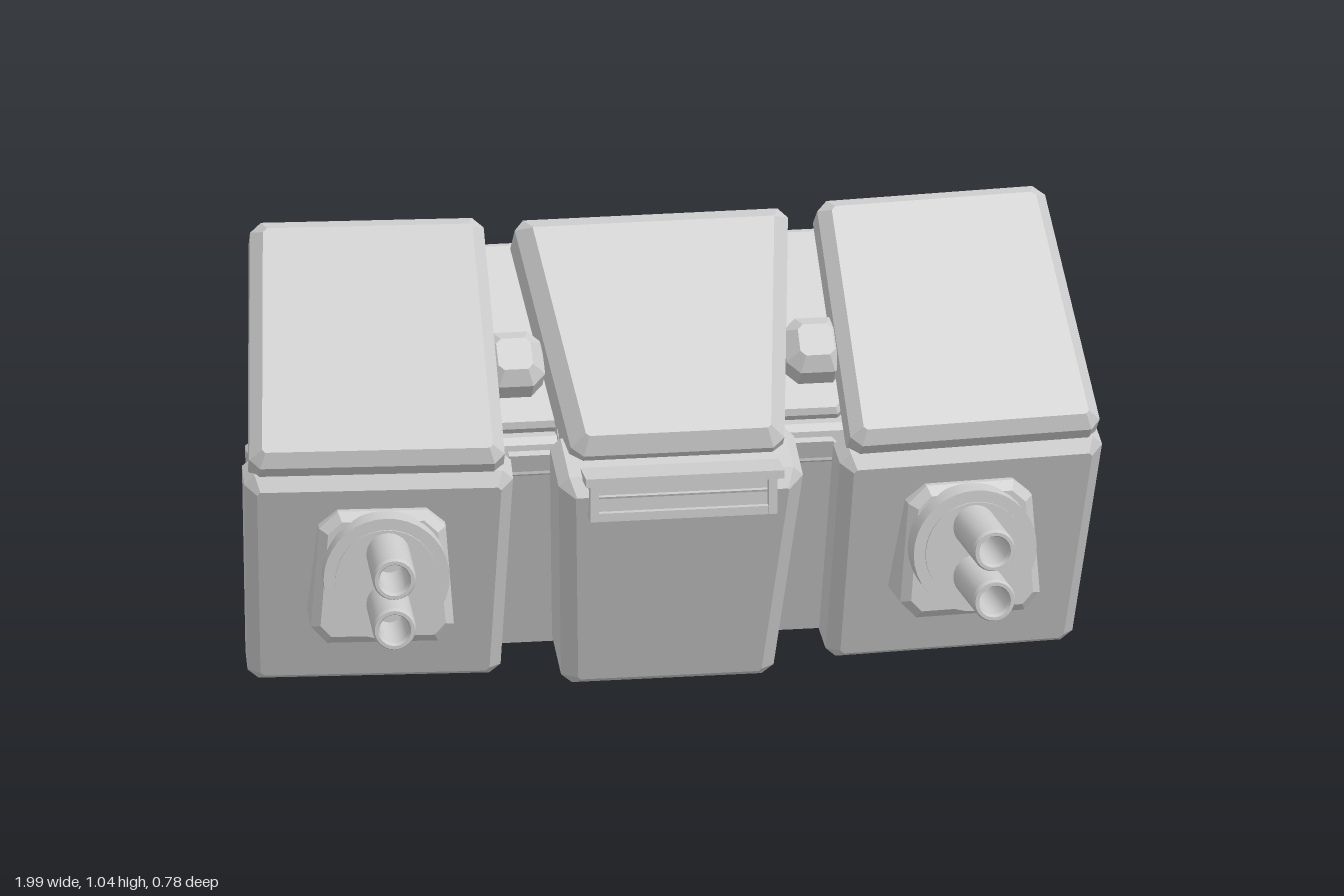
import * as THREE from 'three';

const grey = new THREE.MeshStandardMaterial({ color: 0xcccccc });
grey.name = 'light grey';

const LOWER_TILT = 0.37, UPPER_TILT = -0.77, YAW = 0.08, SIDE_X = 0.68;

// Outline with every corner cut off by length c
function cutCorners(points, c) {
  const v = points.map(p => new THREE.Vector2(p[0], p[1]));
  return v.flatMap((p, i) => [v[(i + v.length - 1) % v.length], v[(i + 1) % v.length]].map(
    q => p.clone().add(q.clone().sub(p).setLength(c))));
}

// Chamfered plate: outline in xy, reaching from z = back to z = front
function plate(name, points, back, front, bevel = 0.025, corner = 0.025) {
  const geo = new THREE.ExtrudeGeometry(new THREE.Shape(cutCorners(points, corner)), {
    depth: front - back - 2 * bevel, bevelEnabled: bevel > 0, bevelSegments: 1,
    bevelThickness: bevel, bevelSize: bevel, bevelOffset: -bevel,
  });
  geo.translate(0, 0, back + bevel);
  const mesh = new THREE.Mesh(geo, grey);
  mesh.name = name;
  return mesh;
}

// Four-sided outline from bottom and top widths
const quad = (y0, y1, l0, r0, l1 = l0, r1 = r0) => [[l0, y0], [r0, y0], [r1, y1], [l1, y1]];

// Bar along x from a [z, y] section
function bar(name, section, x0, x1, bevel = 0.02) {
  const mesh = plate(name, section.map(([z, y]) => [-z, y]), x0, x1, bevel, 0.015);
  mesh.geometry.rotateY(Math.PI / 2);
  return mesh;
}

function tilted(name, angle, ...parts) {
  const g = new THREE.Group();
  g.name = name;
  g.rotation.x = angle;
  g.add(...parts);
  return g;
}

function cylinder(name, r, depth, x, y, z) {
  const mesh = new THREE.Mesh(new THREE.CylinderGeometry(r, r, depth, 36).rotateX(Math.PI / 2), grey);
  mesh.name = name;
  mesh.position.set(x, y, z);
  return mesh;
}

// Hollow barrel, open at the front
function barrel(x, y) {
  const shell = [[0.05, 0], [0.05, 0.235], [0.046, 0.245], [0.038, 0.245], [0.034, 0.235], [0.034, 0.08], [0, 0.08]];
  const g = new THREE.Group();
  g.name = 'barrel';
  for (let i = 0; i < shell.length - 1; i++) {
    const pair = shell.slice(i, i + 2).map(p => new THREE.Vector2(...p));
    g.add(new THREE.Mesh(new THREE.LatheGeometry(pair, 24).rotateX(Math.PI / 2), grey));
  }
  g.position.set(x, y, 0.145);
  return g;
}

// Side unit, m = 1 for the left and -1 for the right
function sideUnit(m) {
  const g = new THREE.Group();
  g.name = m > 0 ? 'leftUnit' : 'rightUnit';
  g.position.x = m * SIDE_X;
  g.rotation.y = m * YAW;
  const flip = pts => pts.map(([x, y]) => [x * m, y]);

  g.add(tilted('lowerSidePanels', LOWER_TILT,
    plate('lowerFrontPanel', flip(quad(-0.035, 0.56, -0.295, 0.285, -0.31, 0.31)), -0.205, -0.08, 0.028),
    plate('lowerCore', flip(quad(-0.015, 0.54, -0.28, 0.265, -0.29, 0.285)), -0.25, -0.18, 0),
    plate('lowerBackPanel', flip(quad(-0.035, 0.54, -0.29, 0.275, -0.3, 0.295)), -0.295, -0.235, 0.02),
  ));

  // Level studs half sunk into the sloping back
  g.add(cylinder('lowerStud', 0.055, 0.08, m * 0.2, 0.2, -0.19),
    cylinder('upperStud', 0.055, 0.08, m * 0.2, 0.5, -0.085));

  g.add(tilted('upperSidePanels', UPPER_TILT,
    plate('upperFrontPanel', flip(quad(0.33, 0.96, -0.29, 0.3, -0.27, 0.265)), 0.415, 0.53, 0.028),
    plate('upperRim', flip(quad(0.325, 0.93, -0.275, 0.29, -0.25, 0.245)), 0.4, 0.46, 0.015),
  ));

  // Gun mount with its ring and twin barrels
  const mount = quad(0.16, 0.475, -0.175, 0.16, -0.15, 0.135);
  g.add(
    plate('gunMount', flip(mount), -0.06, 0.135, 0.02, 0.04),
    cylinder('gunRing', 0.145, 0.06, -m * 0.012, 0.333, 0.155),
    cylinder('gunRingInner', 0.118, 0.02, -m * 0.012, 0.333, 0.18),
    barrel(-m * 0.015, 0.395), barrel(-m * 0.015, 0.275),
  );

  // Short bar on the back
  const section = [[-0.06, 0.58], [-0.212, 0.58], [-0.195, 0.41], [-0.17, 0.385], [-0.11, 0.41]];
  const ends = [m * -0.23, m * 0.13].sort((a, b) => a - b);
  g.add(bar('sideBackBar', section, ends[0], ends[1]));
  return g;
}

export function createModel() {
  const model = new THREE.Group();
  model.name = 'foldedTurretPack';

  // Middle of the lower half
  model.add(tilted('lowerMiddle', LOWER_TILT,
    plate('lowerMiddlePanel', quad(-0.015, 0.59, -0.245, 0.245, -0.285, 0.285), -0.2, 0.012, 0.035),
    plate('lowerJoiningPlate', quad(-0.01, 0.54, -0.4, 0.4), -0.27, -0.17, 0),
    plate('lowerBackSlab', quad(-0.04, 0.47, -0.41, 0.41), -0.345, -0.24, 0.03),
  ));

  // Middle of the upper half and the wide plate behind it
  model.add(tilted('upperMiddle', UPPER_TILT,
    plate('upperMiddlePanel', quad(0.32, 0.93, -0.245, 0.245, -0.32, 0.32), 0.39, 0.558, 0.035),
    plate('upperJoiningPlate', quad(0.45, 0.925, -0.42, 0.42), 0.38, 0.43, 0.012),
    plate('upperBackPlate', quad(0.45, 0.92, -0.83, 0.83, -0.81, 0.81), 0.322, 0.402, 0.03, 0.06),
    ...[-1, 1].map(m => plate('upperLink', quad(0.525, 0.665, m * 0.35 - 0.07, m * 0.35 + 0.07), 0.38, 0.515, 0.03, 0.03)),
  ));

  // Back handle with the block beneath it
  model.add(
    bar('backHandle', [[-0.255, 0.75], [-0.232, 0.58], [-0.14, 0.575], [-0.08, 0.65], [-0.17, 0.78]], -0.38, 0.38, 0.03),
    bar('handleBlock', [[-0.19, 0.62], [-0.165, 0.44], [0.02, 0.44], [0.02, 0.62]], -0.26, 0.26, 0),
    bar('hingeCore', [[0.02, 0.6], [-0.1, 0.6], [-0.1, 0.5], [0.02, 0.5]], -0.42, 0.42, 0),
  );

  // Front latch: a ledge over a thin framed plate
  const latch = new THREE.Group();
  latch.name = 'frontLatch';
  const block = (w, h, d, x, y, z) => {
    const mesh = new THREE.Mesh(new THREE.BoxGeometry(w, h, d), grey);
    mesh.position.set(x, y, z);
    latch.add(mesh);
  };
  block(0.46, 0.02, 0.1, 0, 0.56, 0.2);
  block(0.4, 0.09, 0.06, 0, 0.51, 0.18);
  block(0.43, 0.02, 0.07, 0, 0.468, 0.19);
  for (const m of [-1, 1]) block(0.02, 0.1, 0.09, m * 0.207, 0.51, 0.185);
  model.add(latch);

  model.add(sideUnit(1), sideUnit(-1));
  return model;
}
